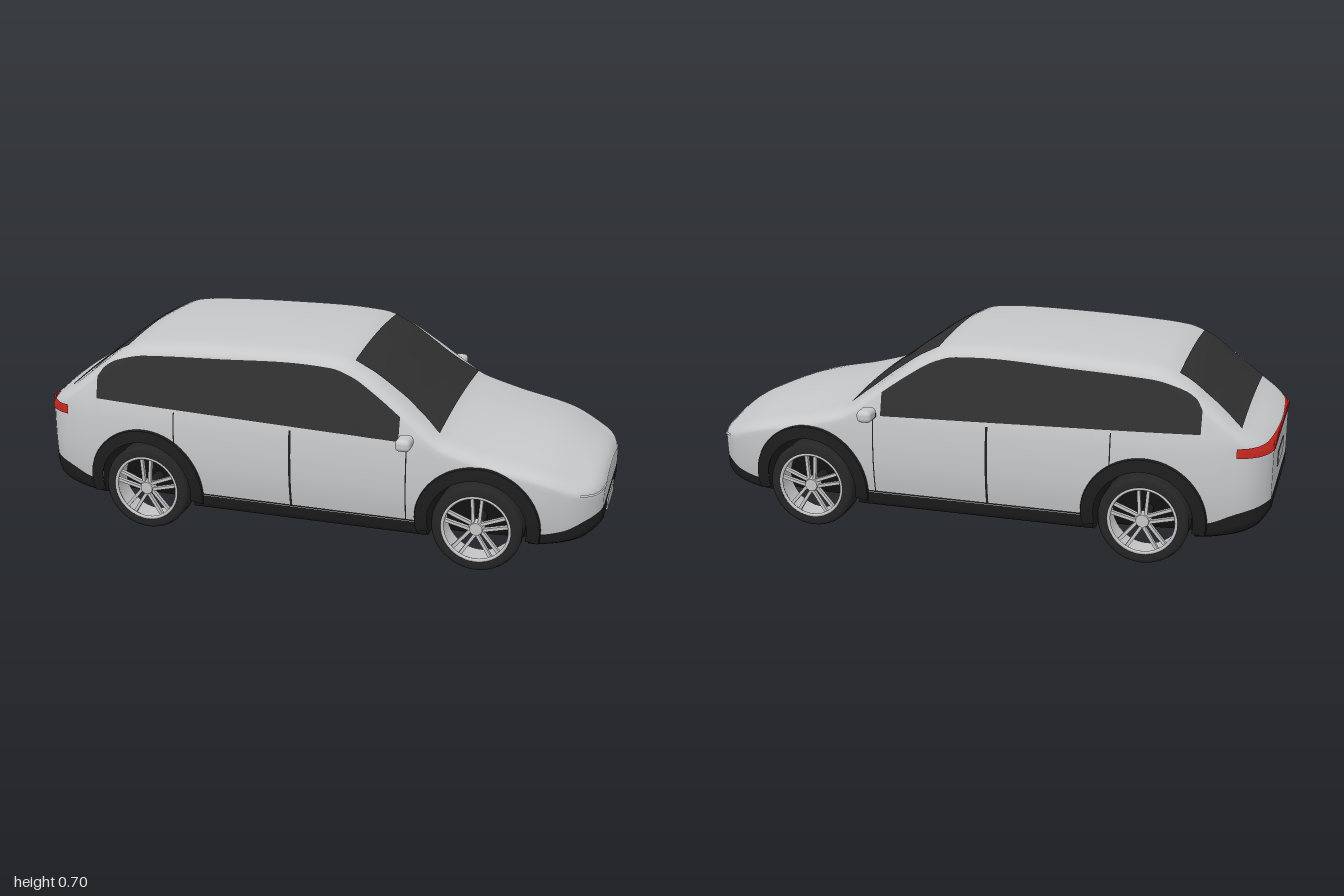
import * as THREE from 'three';
import { RoundedBoxGeometry } from 'three/addons/geometries/RoundedBoxGeometry.js';

const mat = (name, color, side = THREE.FrontSide) => {
  const m = new THREE.MeshStandardMaterial({ color, side });
  m.name = name;
  return m;
};

// Smooth monotone curve through [x, y] points
function curve(p) {
  const n = p.length;
  const s = p.slice(1).map((q, i) => (q[1] - p[i][1]) / (q[0] - p[i][0]));
  const m = p.map((_, i) => {
    if (i === 0) return s[0];
    if (i === n - 1) return s[n - 2];
    return s[i - 1] * s[i] <= 0 ? 0 : (2 * s[i - 1] * s[i]) / (s[i - 1] + s[i]);
  });
  return (x) => {
    let i = 0;
    while (i < n - 2 && x > p[i + 1][0]) i++;
    const h = p[i + 1][0] - p[i][0];
    const t = Math.min(1, Math.max(0, (x - p[i][0]) / h)), t2 = t * t, t3 = t2 * t;
    return (2 * t3 - 3 * t2 + 1) * p[i][1] + (t3 - 2 * t2 + t) * h * m[i]
      + (3 * t2 - 2 * t3) * p[i + 1][1] + (t3 - t2) * h * m[i + 1];
  };
}

// Body profiles along the length (nose at +x)
const top = curve([[-1, 0.43], [-0.97, 0.452], [-0.9, 0.492], [-0.8, 0.57], [-0.7, 0.645], [-0.62, 0.678], [-0.5, 0.69],
  [-0.3, 0.7], [-0.05, 0.705], [0.1, 0.697], [0.2, 0.655], [0.3, 0.588], [0.4, 0.513], [0.48, 0.462], [0.6, 0.437],
  [0.8, 0.402], [0.92, 0.358], [0.98, 0.325], [1, 0.295]]);
const bottom = curve([[-1, 0.19], [-0.96, 0.145], [-0.88, 0.115], [-0.75, 0.095], [-0.4, 0.085], [0.5, 0.085],
  [0.8, 0.098], [0.93, 0.12], [1, 0.16]]);
const width = curve([[-1, 0.24], [-0.985, 0.285], [-0.95, 0.335], [-0.9, 0.365], [-0.8, 0.387], [-0.5, 0.395], [0.3, 0.396],
  [0.6, 0.392], [0.8, 0.378], [0.9, 0.348], [0.96, 0.3], [0.988, 0.25], [1, 0.2]]);
const split = curve([[-1, 0.23], [-0.9, 0.205], [-0.8, 0.165], [-0.7, 0.15], [0.78, 0.15], [0.88, 0.165], [0.96, 0.2], [1, 0.212]]);
const crown = curve([[-1, 0.01], [0.45, 0.012], [0.65, 0.025], [0.9, 0.03], [1, 0.015]]);

const WHEEL_X = [-0.59, 0.6], ARCH_Y = 0.165, ARCH_R = 0.172;
const ROW_SPLIT = 7;

// Half width of the flank at a height
function flank(x, y) {
  const f = y < 0.3 ? 1 - 2 * (0.3 - y) ** 2 : y < 0.44 ? 1 - (y - 0.3) ** 2 : 0.98 - 0.65 * (y - 0.44);
  return width(x) * f;
}

// Half cross-section from floor centre to roof centre, as [z, y]
function halfSection(x) {
  const t = top(x), b = bottom(x), d = split(x), k = crown(x), yc = t - 0.04 - k;
  const pts = [], zf = Math.min(0.27, width(x) * 0.7);
  pts.push([0, b], [zf, b], [zf, b], [0.92 * flank(x, b), b]);
  for (let i = 0; i <= 3; i++) {
    const y = b + 0.015 + (d - b - 0.015) * i / 3;
    pts.push([flank(x, y), y]);
  }
  for (let i = 1; i <= 12; i++) {
    const y = d + (yc - d) * i / 12;
    pts.push([flank(x, y), y]);
  }
  const a = [flank(x, yc), yc], e = [a[0] - 0.09, t - k], c = [flank(x, t) - 0.002, t - k * 1.3];
  for (let i = 1; i <= 8; i++) {
    const u = i / 8, v = 1 - u;
    pts.push([0, 1].map((q) => v * v * a[q] + 2 * u * v * c[q] + u * u * e[q]));
  }
  for (let i = 1; i <= 8; i++) {
    const f = 1 - i / 8;
    pts.push([e[0] * f, t - k * f * f]);
  }
  return pts;
}

// Surface lookups: side distance at a height, and top height at a side distance
function lookup(x, value, key) {
  const p = halfSection(x).slice(3);
  for (let i = 0; i < p.length - 1; i++) {
    const a = p[i], b = p[i + 1];
    const hit = key === 1 ? value <= b[1] : i >= 16 && value >= b[0];
    if (hit) {
      const f = (value - a[key]) / (b[key] - a[key] || 1);
      return a[1 - key] + (b[1 - key] - a[1 - key]) * Math.min(1, Math.max(0, f));
    }
  }
  return p[p.length - 1][1 - key];
}
const sideZ = (x, y) => lookup(x, y, 1);
const topY = (x, z) => lookup(x, Math.abs(z), 0);

// Surface grid from a function of u and v
function grid(nu, nv, f, flip = false) {
  const pos = [], idx = [];
  for (let i = 0; i <= nu; i++) for (let j = 0; j <= nv; j++) pos.push(...f(i / nu, j / nv));
  for (let i = 0; i < nu; i++) for (let j = 0; j < nv; j++) {
    const a = i * (nv + 1) + j, b = a + nv + 1;
    idx.push(...(flip ? [a, b + 1, b, a, a + 1, b + 1] : [a, b, b + 1, a, b + 1, a + 1]));
  }
  const g = new THREE.BufferGeometry();
  g.setAttribute('position', new THREE.Float32BufferAttribute(pos, 3));
  g.setIndex(idx);
  g.computeVertexNormals();
  return g;
}

// Lofted shell with wheel arches cut in, dark below the split line
function bodyGeometry() {
  const xs = [];
  for (let i = 0; i <= 120; i++) xs.push(-0.997 + 1.995 * i / 120);
  xs.push(-0.993, -0.988, 0.99, 0.995);
  for (const w of WHEEL_X) for (const s of [-1, 1]) for (const e of [-0.012, -0.004, -0.0005, 0.0005]) xs.push(w + s * (ARCH_R + e));
  xs.sort((a, b) => a - b);
  const pos = [], dark = [], light = [];
  let n = 0;
  for (const x of xs) {
    let arch = 0;
    for (const w of WHEEL_X) if (Math.abs(x - w) < ARCH_R) arch = ARCH_Y + Math.sqrt(ARCH_R ** 2 - (x - w) ** 2);
    const half = halfSection(x).map(([z, y], j) => {
      if (j < 2 || y >= arch) return [z, y];
      return [j === 2 ? z : sideZ(x, arch), arch];
    });
    n = half.length - 1;
    for (let j = 0; j <= n; j++) pos.push(x, half[j][1], half[j][0]);
    for (let j = n - 1; j > 0; j--) pos.push(x, half[j][1], -half[j][0]);
  }
  const M = 2 * n, last = (xs.length - 1) * M;
  for (let j = 0; j < M; j++) {
    const k = (j + 1) % M, list = Math.min(j, M - 1 - j) < ROW_SPLIT ? dark : light;
    for (let o = 0; o < last; o += M) list.push(o + j, o + M + j, o + M + k, o + j, o + M + k, o + k);
    if (j < n) {
      const A = j, B = j + 1, C = (M - j - 1) % M, D = (M - j) % M;
      list.push(last + A, last + D, last + C, last + A, last + C, last + B, A, C, D, A, B, C);
    }
  }
  const g = new THREE.BufferGeometry();
  g.setAttribute('position', new THREE.Float32BufferAttribute(pos, 3));
  g.setIndex([...dark, ...light]);
  g.addGroup(0, dark.length, 0);
  g.addGroup(dark.length, light.length, 1);
  g.computeVertexNormals();
  return g;
}

export function createModel() {
  const car = new THREE.Group();
  const paint = mat('silver paint', 0xc6c7c9), trim = mat('black trim', 0x1e1e1e), glass = mat('dark glass', 0x303030);
  const rubber = mat('tyre rubber', 0x262626, THREE.DoubleSide), alloy = mat('alloy', 0xc4c4c6, THREE.DoubleSide);
  const red = mat('red lamp', 0xc5281f), pale = mat('plate grey', 0xc9cdc9);
  const add = (name, geo, m, parent = car, x = 0, y = 0, z = 0) => {
    const mesh = new THREE.Mesh(geo, m);
    mesh.name = name;
    mesh.position.set(x, y, z);
    parent.add(mesh);
    return mesh;
  };
  // Thin plates that follow the flanks, on both sides
  const flankPlate = (name, m, x0, x1, lo, hi, nx, ny, off = 0.004) => {
    for (const s of [1, -1]) add(name, grid(nx, ny, (u, v) => {
      const x = x0 + (x1 - x0) * u, y = lo(x) + (hi(x) - lo(x)) * v;
      return [x + (Math.abs(x) > 0.87 ? Math.sign(x) * 0.003 : 0), y, s * (sideZ(x, y) + off)];
    }, s < 0), m);
  };
  const flat = (y) => () => y;

  add('bodyShell', bodyGeometry(), [trim, paint]);

  // Glass
  const windowTop = curve([[-0.77, 0.55], [-0.75, 0.58], [-0.7, 0.61], [-0.6, 0.635], [-0.3, 0.65], [-0.05, 0.66],
    [0.08, 0.655], [0.15, 0.635], [0.24, 0.583], [0.33, 0.52]]);
  flankPlate('sideWindow', glass, -0.77, 0.33, (x) => 0.45 - 0.03 * x, windowTop, 60, 12);
  const topPlate = (name, x0, x1, half) => add(name, grid(30, 30, (u, v) => {
    const x = x0 + (x1 - x0) * u, z = half(x) * (1 - 2 * v);
    return [x, topY(x, z) + 0.005, z];
  }), glass);
  topPlate('windscreen', 0.15, 0.457, curve([[0.15, 0.278], [0.32, 0.28], [0.39, 0.297], [0.457, 0.33]]));
  topPlate('rearWindow', -0.895, -0.68, curve([[-0.895, 0.308], [-0.84, 0.288], [-0.79, 0.28], [-0.68, 0.278]]));

  // Door seams and sill line
  flankPlate('frontDoorSeam', trim, 0.356, 0.36, flat(0.155), flat(0.435), 1, 12, 0.002);
  flankPlate('middleDoorSeam', trim, -0.054, -0.046, flat(0.155), flat(0.437), 1, 12, 0.002);
  flankPlate('rearDoorSeam', trim, -0.477, -0.473, flat(0.33), flat(0.455), 1, 8, 0.002);
  flankPlate('sillSeam', trim, -0.38, 0.39, flat(0.153), flat(0.159), 40, 1, 0.002);

  // Lamps and plates
  flankPlate('tailLamp', red, -0.996, -0.885, flat(0.4), flat(0.433), 16, 3);
  add('tailLampBar', new THREE.BoxGeometry(0.006, 0.016, 0.5), red, car, -0.998, 0.412, 0);
  flankPlate('headlampStrip', pale, 0.93, 0.997, (x) => 0.29 - 0.2 * (x - 0.93), (x) => 0.297 - 0.2 * (x - 0.93), 14, 1);
  add('frontPlate', new THREE.BoxGeometry(0.008, 0.043, 0.17), pale, car, 0.998, 0.169, 0);
  add('rearPlateFrame', new THREE.BoxGeometry(0.003, 0.054, 0.176), trim, car, -0.997, 0.31, 0);
  add('rearPlate', new THREE.BoxGeometry(0.005, 0.049, 0.171), paint, car, -0.9975, 0.31, 0);

  for (const s of [1, -1]) {
    // Door mirrors
    add('mirrorHousing', new RoundedBoxGeometry(0.052, 0.042, 0.07, 4, 0.016), paint, car, 0.362, 0.457, s * 0.438);
    add('mirrorStalk', new THREE.BoxGeometry(0.03, 0.014, 0.06), trim, car, 0.362, 0.441, s * 0.395);

    for (const wx of WHEEL_X) {
      // Wheel arch cladding with a thin outer edge
      for (const [r0, r1, o0, o1] of [[0.168, 0.211, 0.009, 0.009], [0.211, 0.215, 0.009, -0.003]]) {
        add('wheelArch', grid(40, 4, (u, v) => {
          const a = Math.PI + 0.24 - u * (Math.PI + 0.48), r = r0 + (r1 - r0) * v;
          const x = wx + r * Math.cos(a), y = ARCH_Y + r * Math.sin(a);
          return [x, y, s * (sideZ(x, y) + o0 + (o1 - o0) * v)];
        }, s < 0), trim);
      }

      // Wheel
      const wheel = new THREE.Group();
      wheel.name = 'wheel';
      wheel.position.set(wx, 0.155, s * 0.34);
      if (s < 0) wheel.rotation.y = Math.PI;
      car.add(wheel);
      const lathe = (p) => new THREE.LatheGeometry(p.map(([r, y]) => new THREE.Vector2(r, y)), 48).rotateX(Math.PI / 2);
      add('tyre', lathe([[0.119, -0.05], [0.14, -0.05], [0.151, -0.044], [0.155, -0.034], [0.155, 0.034],
        [0.151, 0.044], [0.14, 0.05], [0.119, 0.05]]), rubber, wheel);
      add('rimBarrel', new THREE.CylinderGeometry(0.118, 0.118, 0.096, 48, 1, true).rotateX(Math.PI / 2), alloy, wheel);
      add('rimLip', new THREE.TorusGeometry(0.115, 0.006, 8, 48), alloy, wheel, 0, 0, 0.045);
      add('hub', new THREE.CylinderGeometry(0.022, 0.03, 0.024, 24).rotateX(Math.PI / 2), alloy, wheel, 0, 0, 0.036);
      add('axle', new THREE.CylinderGeometry(0.018, 0.018, 0.1, 16).rotateX(Math.PI / 2), trim, wheel, 0, 0, -0.025);
      for (let i = 0; i < 5; i++) for (const k of [-1, 1]) {
        const spoke = new THREE.BoxGeometry(0.011, 0.1, 0.014).translate(k * 0.009, 0.066, 0.036);
        add('spoke', spoke.rotateZ(i * Math.PI * 0.4 - k * 0.07), alloy, wheel);
      }
    }
  }
  return car;
}
